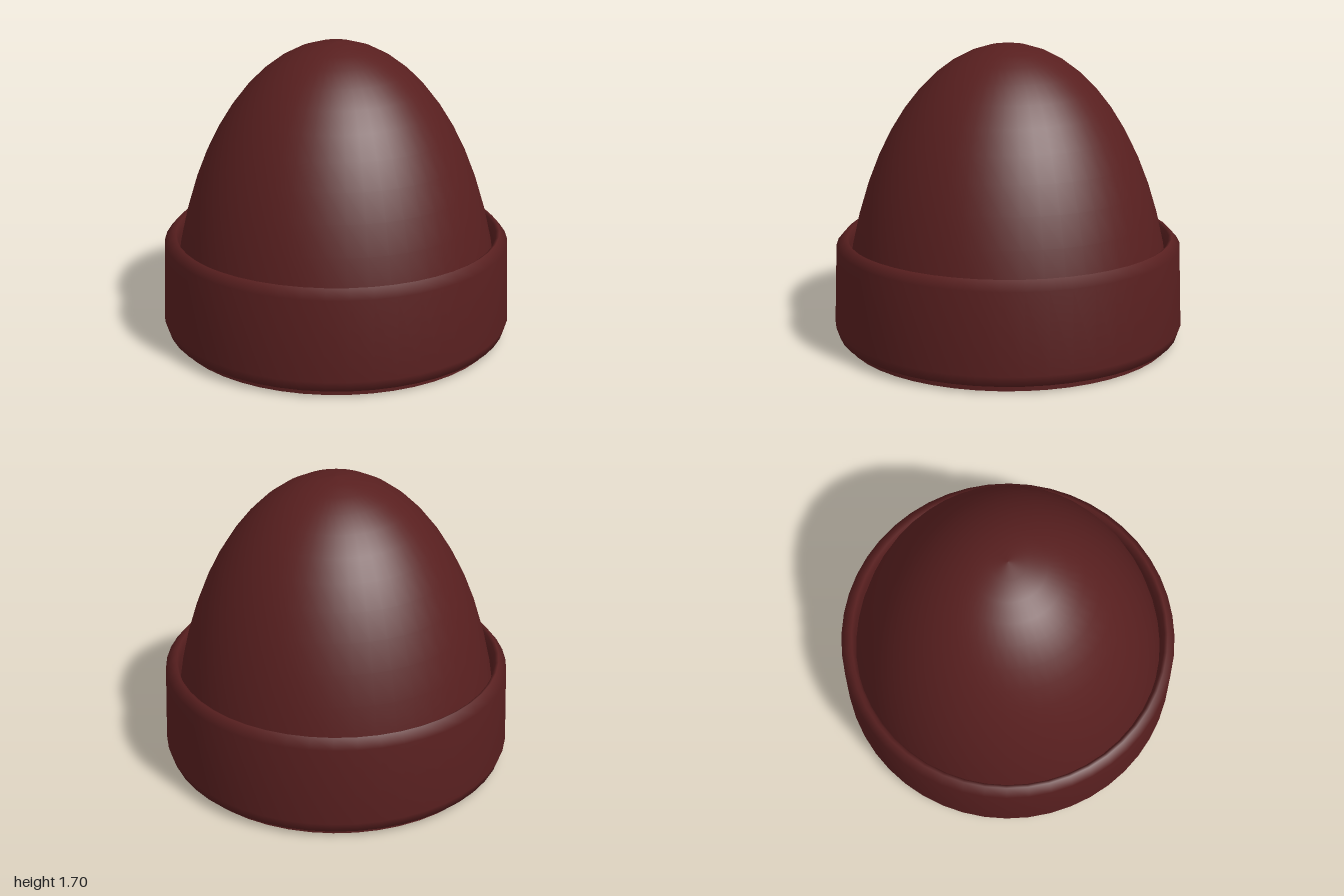
import * as THREE from 'three';

const SEGMENTS = 48;

// Quarter-ellipse profile from the rim (y = 0) up to the pole
function domeProfile(radius, height, steps = 14) {
  const points = [];
  for (let i = 0; i <= steps; i++) {
    const a = (i / steps) * Math.PI / 2;
    points.push(new THREE.Vector2(i === steps ? 0 : radius * Math.cos(a), height * Math.sin(a)));
  }
  return points;
}

export function createModel() {
  const group = new THREE.Group();
  group.name = 'knitHat';
  const wool = new THREE.MeshStandardMaterial({ color: 0x581f1f, side: THREE.DoubleSide });

  const addLathe = (name, points) => {
    const mesh = new THREE.Mesh(new THREE.LatheGeometry(points, SEGMENTS), wool);
    mesh.name = name;
    group.add(mesh);
  };

  // Crown: tall half ellipsoid with an inner lining and a flat rim joining them
  addLathe('crown', domeProfile(0.94, 1.695));
  addLathe('lining', domeProfile(0.92, 1.675).reverse());
  addLathe('rim', [new THREE.Vector2(0.92, 0), new THREE.Vector2(0.94, 0)]);

  // Folded cuff: closed band with bevelled edges, slightly wider at the bottom
  const cuff = [
    [0.93, 0.035], [0.98, 0.04], [1.0, 0.1], [0.982, 0.555], [0.937, 0.607],
    [0.918, 0.595], [0.905, 0.55], [0.905, 0.42], [0.93, 0.035],
  ].map(([r, y]) => new THREE.Vector2(r, y));
  addLathe('cuff', cuff);

  return group;
}
